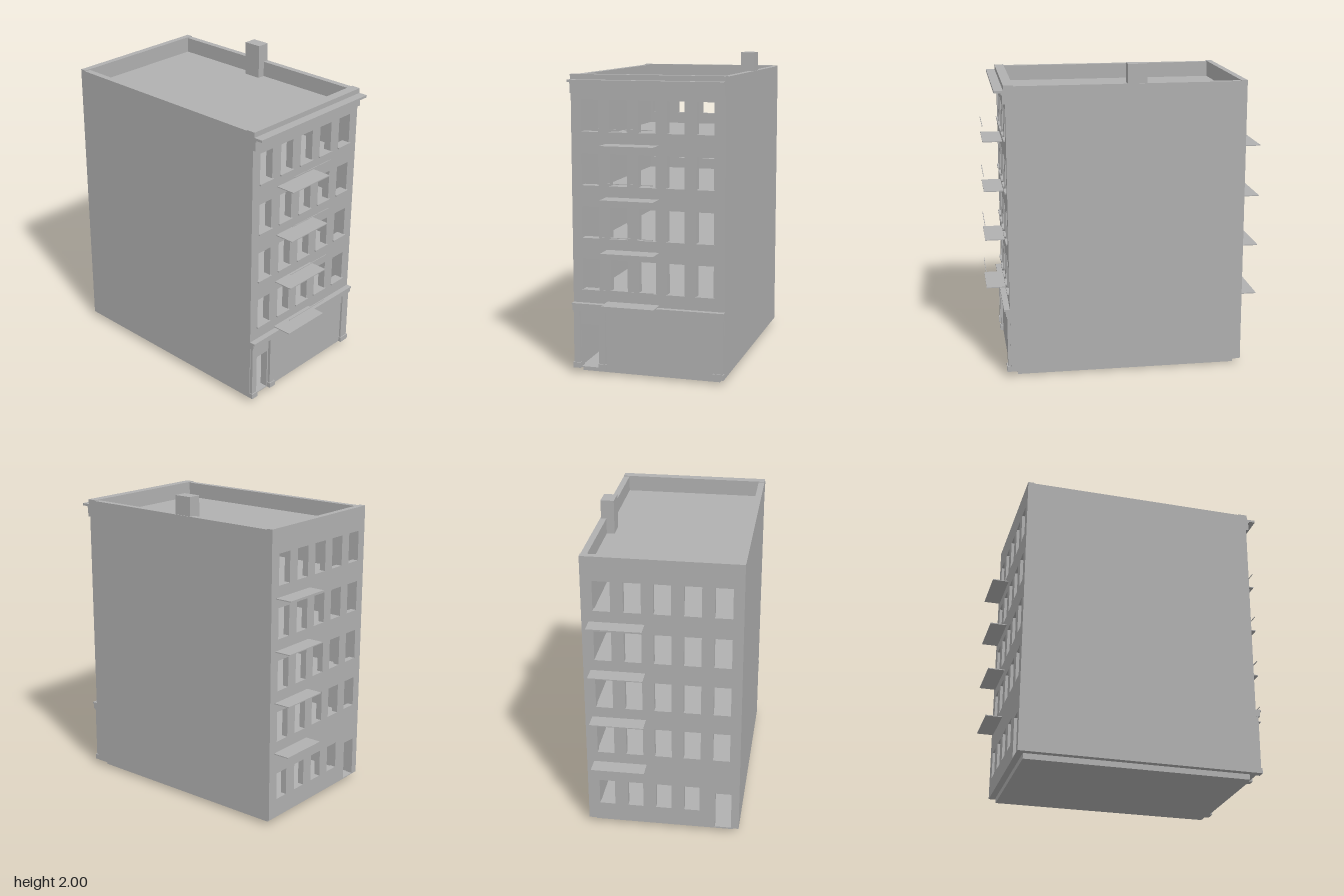
import * as THREE from 'three';

const stone = new THREE.MeshStandardMaterial({ color: 0xb0b0b0 });
stone.name = 'stone';

// box given by its limits on each axis
function block(name, x0, x1, y0, y1, z0, z1) {
  const mesh = new THREE.Mesh(new THREE.BoxGeometry(x1 - x0, y1 - y0, z1 - z0), stone);
  mesh.position.set((x0 + x1) / 2, (y0 + y1) / 2, (z0 + z1) / 2);
  mesh.name = name;
  return mesh;
}

// upright wall with rectangular openings [x0, x1, y0, y1]
function wall(name, top, z0, z1, openings) {
  const rect = (p, x0, x1, y0, y1) =>
    p.moveTo(x0, y0).lineTo(x1, y0).lineTo(x1, y1).lineTo(x0, y1).closePath();
  const shape = rect(new THREE.Shape(), -0.49, 0.49, 0.035, top);
  for (const o of openings) shape.holes.push(rect(new THREE.Path(), ...o));
  const mesh = new THREE.Mesh(
    new THREE.ExtrudeGeometry(shape, { depth: z1 - z0, bevelEnabled: false }), stone);
  mesh.position.z = z0;
  mesh.name = name;
  return mesh;
}

export function createModel() {
  const building = new THREE.Group();
  building.name = 'building';
  const add = (...a) => building.add(block(...a));

  const columns = [-0.37, -0.185, -0.002, 0.18, 0.365];
  const sills = [0.543, 0.873, 1.203, 1.535];
  const storeys = [0.47, 0.8, 1.13, 1.46];
  const windows = [];
  for (const y of sills) for (const x of columns) windows.push([x - 0.054, x + 0.054, y, y + 0.195]);

  // outer walls
  building.add(wall('frontWall', 1.885, 0.695, 0.745, [...windows, [-0.44, -0.325, 0.04, 0.315]]));
  const rearGround = columns.slice(1).map((x) => [x - 0.05, x + 0.05, 0.155, 0.33]);
  building.add(wall('backWall', 1.885, -0.765, -0.725,
    [...windows, ...rearGround, [-0.44, -0.335, 0.04, 0.295]]));
  add('rightWall', -0.49, -0.45, 0.035, 1.88, -0.725, 0.695);
  add('leftWall', 0.45, 0.49, 0.035, 1.88, -0.725, 0.695);

  // foundation, storey floors and roof deck
  add('foundation', -0.45, 0.45, 0, 0.038, -0.725, 0.7);
  for (const y of storeys) add('floorSlab', -0.45, 0.45, y - 0.03, y, -0.725, 0.695);
  add('roofDeck', -0.45, 0.45, 1.75, 1.78, -0.725, 0.695);
  add('chimney', 0.4, 0.485, 1.78, 2, -0.13, -0.01);

  // top cornice
  add('coping', -0.49, 0.49, 1.853, 1.885, 0.745, 0.755);
  add('corniceShelf', -0.49, 0.49, 1.838, 1.853, 0.745, 0.812);
  add('corniceNeck', -0.49, 0.49, 1.828, 1.838, 0.745, 0.77);
  add('corniceBand', -0.49, 0.49, 1.77, 1.828, 0.745, 0.763);

  // cornice over the shopfront
  add('shopCornice', -0.49, 0.49, 0.445, 0.457, 0.745, 0.782);
  add('shopCorniceBand', -0.49, 0.49, 0.41, 0.445, 0.745, 0.772);

  // shopfront piers with plinths, fascia and shop window panel
  for (const [x0, x1] of [[-0.485, -0.445], [-0.315, -0.275], [0.425, 0.485]]) {
    add('pier', x0, x1, 0.07, 0.41, 0.745, 0.763);
    add('pierPlinth', x0 - 0.005, x1 + 0.005, 0.035, 0.07, 0.745, 0.77);
  }
  add('shopFascia', -0.275, 0.425, 0.345, 0.41, 0.745, 0.755);
  add('shopWindow', -0.275, 0.425, 0.035, 0.345, 0.745, 0.75);

  // window sills on the front
  for (const y of sills)
    for (const x of columns) add('windowSill', x - 0.06, x + 0.06, y - 0.009, y, 0.745, 0.757);

  // balconies: front ones have a thin hand rail
  for (const y of storeys) {
    add('frontBalcony', -0.265, 0.075, y - 0.003, y + 0.003, 0.745, 0.872);
    add('balconyRail', -0.265, 0.075, y + 0.103, y + 0.107, 0.869, 0.873);
    add('backBalcony', 0.105, 0.445, y - 0.003, y + 0.003, -0.872, -0.765);
  }
  return building;
}
